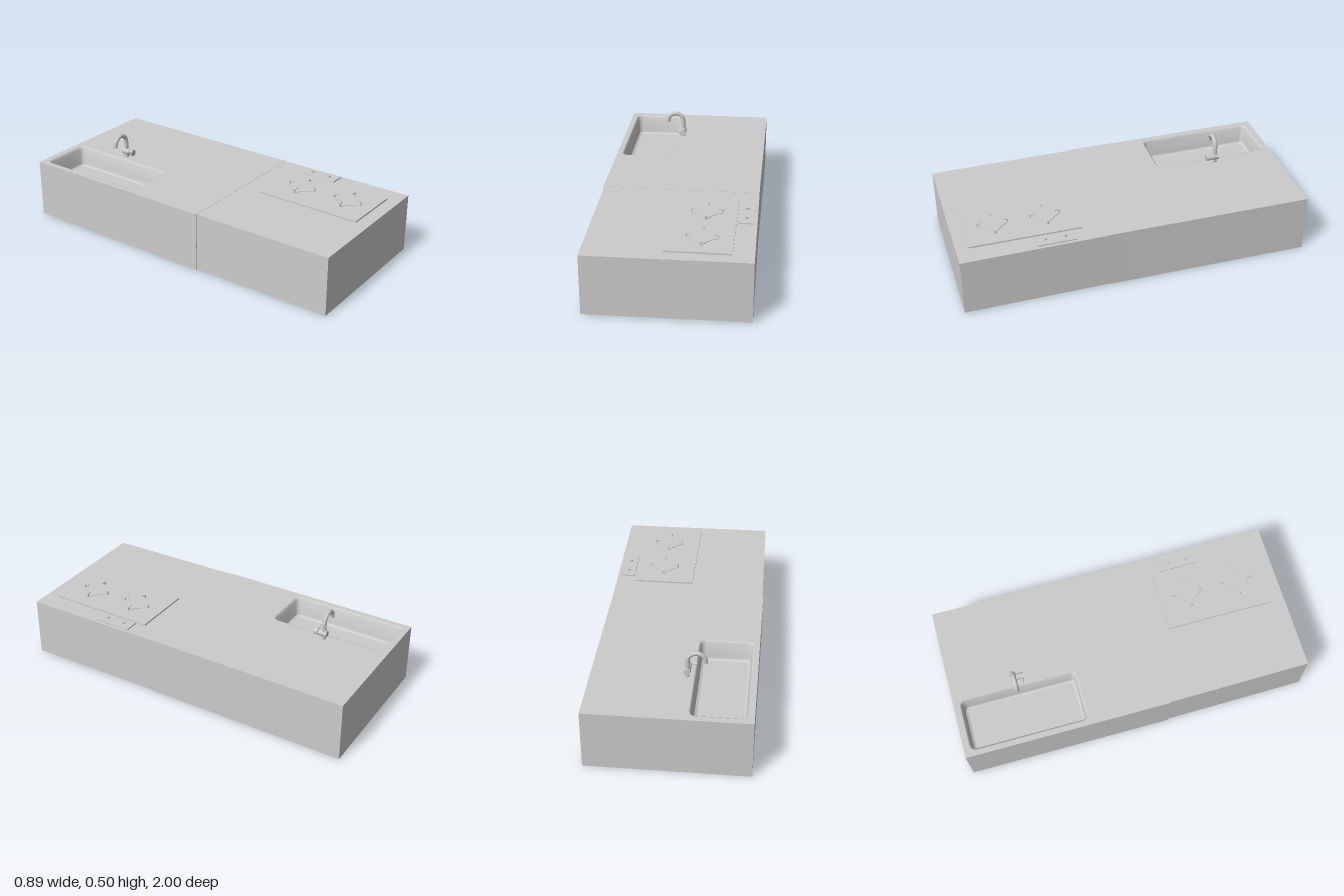
import * as THREE from 'three';
import { toCreasedNormals } from 'three/addons/utils/BufferGeometryUtils.js';

const grey = new THREE.MeshStandardMaterial({ color: 0xcccccc, side: THREE.DoubleSide });
const TOP = 0.343;

function add(parent, name, geometry, x = 0, y = 0, z = 0) {
  const mesh = new THREE.Mesh(geometry, grey);
  mesh.name = name;
  mesh.position.set(x, y, z);
  parent.add(mesh);
  return mesh;
}

// Rounded rectangle outline as [x, z] points, running around its centre
function roundedLoop(w, d, r, steps = 6) {
  const points = [];
  [[1, 1], [-1, 1], [-1, -1], [1, -1]].forEach(([sx, sz], corner) => {
    for (let i = 0; i <= steps; i++) {
      const a = (corner + i / steps) * Math.PI / 2;
      points.push(new THREE.Vector2(
        sx * (w / 2 - r) + r * Math.cos(a), sz * (d / 2 - r) + r * Math.sin(a)));
    }
  });
  return points;
}

// Skin through stacked loops, with its normals facing inwards
function loft(loops) {
  const n = loops[0].points.length, positions = [], index = [];
  loops.forEach(({ points, y }) => points.forEach(p => positions.push(p.x, y, p.y)));
  for (let k = 0; k < loops.length - 1; k++) {
    for (let i = 0; i < n; i++) {
      const a = k * n + i, b = k * n + (i + 1) % n;
      index.push(a, b, a + n, b, b + n, a + n);
    }
  }
  const g = new THREE.BufferGeometry();
  g.setAttribute('position', new THREE.Float32BufferAttribute(positions, 3));
  g.setIndex(index);
  g.computeVertexNormals();
  return toCreasedNormals(g, 0.7);
}

function makeSinkUnit() {
  const unit = new THREE.Group();
  unit.name = 'sinkUnit';
  const x0 = -0.45, x1 = 0.434, z0 = -1, z1 = 0.18, h = TOP + 0.0012;
  const cx = -0.268, cz = -0.625, w = 0.304, d = 0.68, r = 0.035;

  // Cabinet sides and bottom: a box without its top face
  const box = new THREE.BoxGeometry(x1 - x0, h, z1 - z0);
  const index = Array.from(box.index.array);
  index.splice(12, 6);
  box.setIndex(index);
  add(unit, 'sinkCabinet', box, (x0 + x1) / 2, h / 2, (z0 + z1) / 2);

  // Worktop with the basin opening
  const top = new THREE.Shape([
    new THREE.Vector2(x0, -z1), new THREE.Vector2(x1, -z1),
    new THREE.Vector2(x1, -z0), new THREE.Vector2(x0, -z0)]);
  top.holes.push(new THREE.Path(roundedLoop(w, d, r).map(p => new THREE.Vector2(cx + p.x, p.y - cz))));
  add(unit, 'sinkWorktop', new THREE.ShapeGeometry(top).rotateX(-Math.PI / 2), 0, h, 0);

  // Basin: [inset, height] from rim to floor
  const profile = [[0, 0], [0.006, -0.003], [0.01, -0.01], [0.013, -0.1], [0.017, -0.113], [0.03, -0.12]];
  const loops = profile.map(([s, y]) => ({ points: roundedLoop(w - 2 * s, d - 2 * s, r - s * 0.6), y }));
  add(unit, 'basinWalls', loft(loops), cx, h, cz);
  const floor = new THREE.ShapeGeometry(new THREE.Shape(loops[loops.length - 1].points));
  add(unit, 'basinFloor', floor.rotateX(-Math.PI / 2), cx, h - 0.12, cz);
  return unit;
}

function makeFaucet() {
  const faucet = new THREE.Group();
  faucet.name = 'faucet';
  faucet.position.set(-0.08, TOP, -0.632);

  // Gooseneck: straight post, half circle, short drop
  const path = new THREE.CurvePath(), R = 0.048, rise = 0.102;
  const points = [new THREE.Vector3(0, 0, 0)];
  for (let i = 0; i <= 8; i++) {
    const a = i / 8 * Math.PI;
    points.push(new THREE.Vector3(-R + R * Math.cos(a), rise + R * Math.sin(a), 0));
  }
  points.push(new THREE.Vector3(-2 * R, rise - 0.01, 0));
  for (let i = 1; i < points.length; i++) path.add(new THREE.LineCurve3(points[i - 1], points[i]));
  add(faucet, 'gooseneck', new THREE.TubeGeometry(path, 48, 0.0125, 10));
  const mouth = new THREE.CircleGeometry(0.0125, 10).rotateX(Math.PI / 2);
  add(faucet, 'spoutMouth', mouth, -2 * R, rise - 0.01, 0);

  // Valve body across the post, with a handle cap and lever
  const valve = new THREE.CylinderGeometry(0.019, 0.019, 0.05, 16).rotateX(Math.PI / 2);
  add(faucet, 'valveBody', valve, 0, 0.038, 0.005);
  const cap = new THREE.CylinderGeometry(0.019, 0.019, 0.022, 16).rotateX(Math.PI / 2);
  add(faucet, 'handleCap', cap, 0, 0.038, 0.045);
  const lever = add(faucet, 'lever', new THREE.CylinderGeometry(0.003, 0.0045, 0.042, 8), -0.029, 0.047, 0.045);
  lever.rotation.z = 1.27;
  return faucet;
}

// Star-shaped pan support with four bracket prongs
function makePanSupport() {
  const support = new THREE.Group();
  support.name = 'panSupport';
  const star = new THREE.Shape();
  const reach = 0.083, half = 0.007;
  for (let i = 0; i < 4; i++) {
    const c = Math.cos(i * Math.PI / 2), s = Math.sin(i * Math.PI / 2);
    const at = (u, v) => [u * c - v * s, u * s + v * c];
    if (i === 0) star.moveTo(...at(reach, -half));
    star.lineTo(...at(reach, half));
    star.quadraticCurveTo(...at(0.033, 0.033), ...at(half, reach));
  }
  const plate = new THREE.ExtrudeGeometry(star, { depth: 0.003, bevelEnabled: false, curveSegments: 8 });
  add(support, 'supportPlate', plate.rotateX(-Math.PI / 2));

  const prong = new THREE.Shape([
    [0.08, 0], [0.086, 0], [0.086, 0.02], [0.058, 0.023], [0.058, 0.019], [0.08, 0.016],
  ].map(p => new THREE.Vector2(...p)));
  const prongGeometry = new THREE.ExtrudeGeometry(prong, { depth: 0.009, bevelEnabled: false });
  prongGeometry.translate(0, 0, -0.0045);
  for (let i = 0; i < 4; i++) {
    add(support, 'prong', prongGeometry).rotation.y = i * Math.PI / 2;
  }
  return support;
}

function makeHobUnit() {
  const unit = new THREE.Group();
  unit.name = 'hobUnit';

  // Cabinet stands very slightly skewed against the sink unit
  const cabinet = add(unit, 'hobCabinet', new THREE.BoxGeometry(0.88, TOP - 0.004, 1.245), -0.003, (TOP + 0.004) / 2, 0.373);
  cabinet.rotation.y = 0.011;

  // Cooktop plate with two burners
  add(unit, 'cooktopPlate', new THREE.BoxGeometry(0.35, 0.009, 0.627), 0.154, TOP + 0.0045, 0.607);
  for (const z of [0.466, 0.76]) {
    const support = makePanSupport();
    support.position.set(0.165, TOP + 0.009, z);
    unit.add(support);
  }

  // Control panel with two knobs
  add(unit, 'controlPanel', new THREE.BoxGeometry(0.083, 0.007, 0.219), 0.379, TOP + 0.0035, 0.459);
  for (const z of [0.404, 0.515]) {
    add(unit, 'knobStem', new THREE.CylinderGeometry(0.007, 0.007, 0.007, 12), 0.379, TOP + 0.0095, z);
    add(unit, 'knob', new THREE.CylinderGeometry(0.0105, 0.0105, 0.008, 16), 0.379, TOP + 0.016, z);
  }
  return unit;
}

export function createModel() {
  const model = new THREE.Group();
  model.name = 'kitchenCounter';
  model.add(makeSinkUnit(), makeFaucet(), makeHobUnit());
  return model;
}
